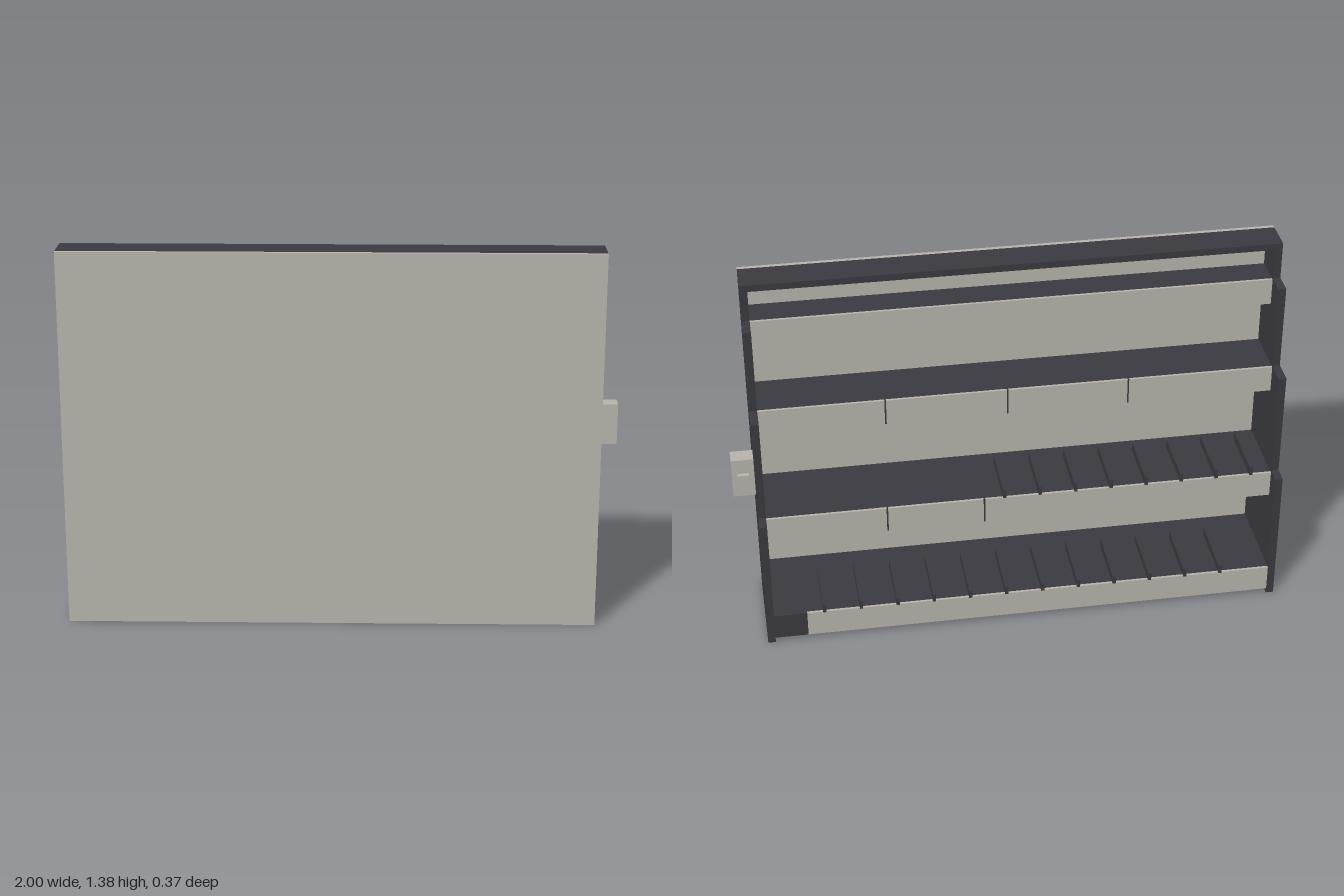
import * as THREE from 'three';

export function createModel() {
  const model = new THREE.Group();
  model.name = 'steppedRack';
  const beige = new THREE.MeshStandardMaterial({ color: 0xb9b5ad });
  beige.name = 'beige';
  const dark = new THREE.MeshStandardMaterial({ color: 0x3b3a40 });
  dark.name = 'charcoal';

  // Box given by its min and max on each axis
  function box(name, mat, x0, x1, y0, y1, z0, z1) {
    const mesh = new THREE.Mesh(new THREE.BoxGeometry(x1 - x0, y1 - y0, z1 - z0), mat);
    mesh.position.set((x0 + x1) / 2, (y0 + y1) / 2, (z0 + z1) / 2);
    mesh.name = name;
    model.add(mesh);
  }

  const L = -1, R = 0.92, T = 0.028, H = 1.385, FRONT = 0.17;
  const inL = L + T, inR = R - T;

  // Front panel and top board
  box('frontPanel', beige, L, R, 0, H, FRONT, 0.185);
  box('topBoard', dark, inL, inR, H - 0.025, H, 0.05, FRONT);

  // Stepped side walls; profile runs in (-z, y)
  const profile = [
    [-FRONT, 0], [0.18, 0], [0.18, 0.525], [0.12, 0.525], [0.12, 0.925],
    [0.03, 0.925], [0.03, 1.245], [-0.05, 1.245], [-0.05, H], [-FRONT, H],
  ].map(([u, v]) => new THREE.Vector2(u, v));
  const sideGeo = new THREE.ExtrudeGeometry(new THREE.Shape(profile), { depth: T, bevelEnabled: false });
  sideGeo.rotateY(Math.PI / 2);
  [['rightSide', L], ['leftSide', inR]].forEach(([name, x]) => {
    const side = new THREE.Mesh(sideGeo, dark);
    side.position.x = x;
    side.name = name;
    model.add(side);
  });

  // Shelves with hanging lips, split by narrow joints
  const shelves = [
    { top: 0.12, back: -0.18, end: 0.77, joints: [] },
    { top: 0.515, back: -0.12, end: inR, joints: [0.1, 0.455] },
    { top: 0.92, back: -0.03, end: inR, joints: [-0.44, 0, 0.44] },
    { top: 1.24, back: 0.05, end: inR, joints: [] },
  ];
  shelves.forEach(({ top, back, end, joints }, i) => {
    box('shelf' + (i + 1), dark, inL, inR, top - 0.018, top, back + 0.01, FRONT);
    const cuts = [inL, ...joints, end];
    for (let k = 0; k < cuts.length - 1; k++) {
      const a = cuts[k] + (k > 0 ? 0.003 : 0);
      const b = cuts[k + 1] - (k < cuts.length - 2 ? 0.003 : 0);
      box('shelfLip' + (i + 1), beige, a, b, top - 0.1, top, back, back + 0.01);
    }
    joints.forEach((x) => box('lipJoint', dark, x - 0.003, x + 0.003, top - 0.1, top, back + 0.002, back + 0.01));
  });
  box('lipEndPlate', dark, 0.77, inR, 0.02, 0.12, -0.18, -0.17);

  // Low dividers on the two lower shelves
  for (let i = 0; i < 12; i++) {
    const x = -0.785 + i * 0.1355;
    box('lowerDivider', dark, x - 0.006, x + 0.006, 0.12, 0.153, -0.185, 0.06);
  }
  for (let i = 0; i < 8; i++) {
    const x = -0.895 + i * 0.1315;
    box('upperDivider', dark, x - 0.006, x + 0.006, 0.515, 0.55, -0.123, 0.11);
  }

  // Switch box on the left wall
  box('switchBox', beige, R, 1, 0.62, 0.772, -0.105, -0.045);
  box('switchButton', beige, 0.94, 0.98, 0.67, 0.715, -0.12, -0.105);

  return model;
}
